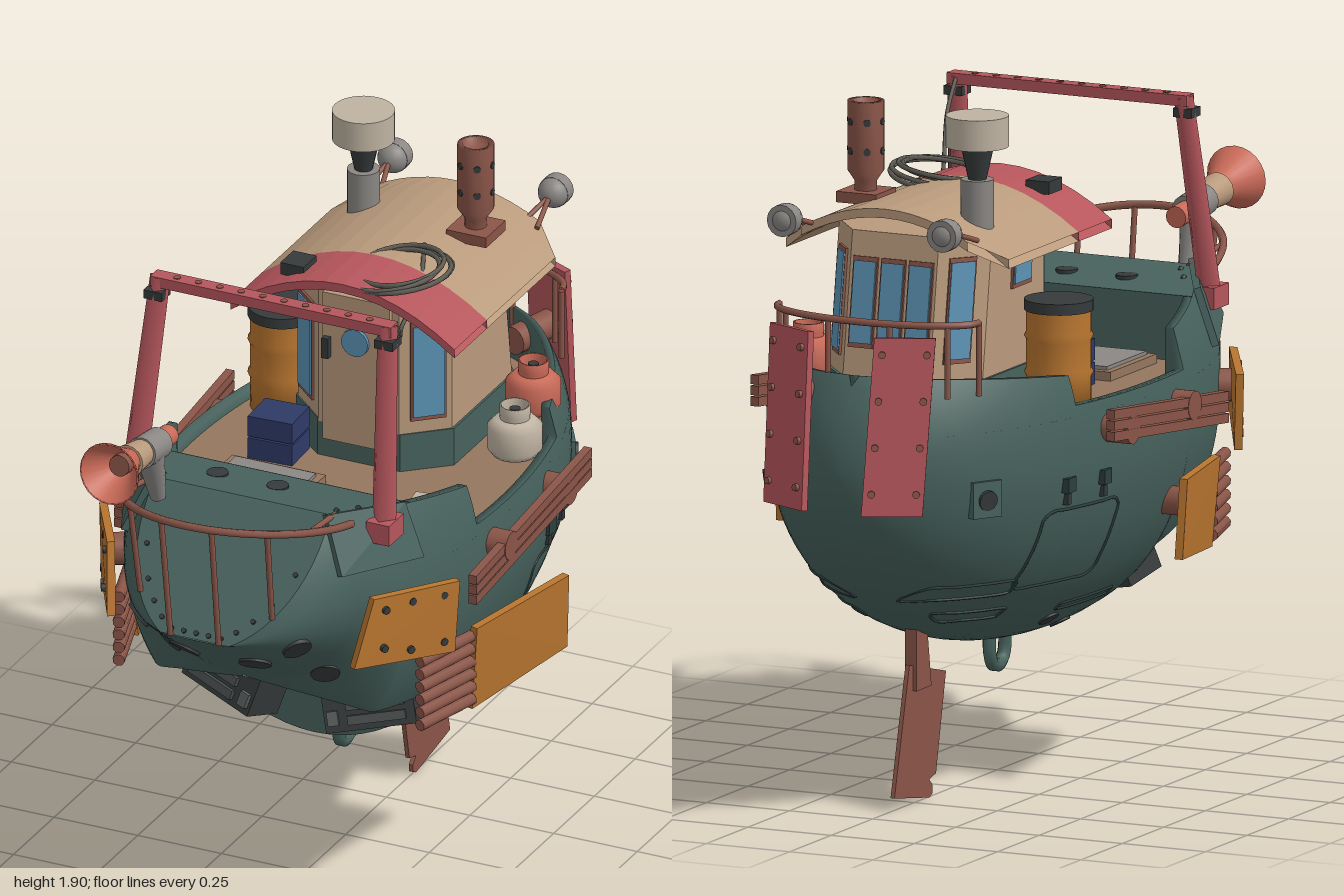
import * as THREE from 'three';
import { ConvexGeometry } from 'three/addons/geometries/ConvexGeometry.js';

const C = { hull: 0x47625d, seam: 0x2c3f3c, dark: 0x363a3a, tan: 0xb99a7c, deck: 0x94765f, red: 0xb5565c, brown: 0x8a5548,
  orange: 0xb8752f, blue: 0x5b93b5, navy: 0x2f3a66, horn: 0xc96a58, grey: 0x8a8784, pale: 0xbfb3a2, rope: 0x5c5a52 };
const V = (x, y, z) => new THREE.Vector3(x, y, z);
const UP = V(0, 1, 0);

export function createModel() {
  const model = new THREE.Group();
  const add = (name, geo, color, pos, opt = {}) => {
    const m = new THREE.Mesh(geo, new THREE.MeshStandardMaterial({ color, ...opt }));
    m.name = name;
    if (pos) m.position.copy(pos);
    model.add(m);
    return m;
  };
  const box = (name, color, p, s, ry = 0, rx = 0) => {
    const m = add(name, new THREE.BoxGeometry(...s), color, V(...p));
    m.rotation.set(rx, ry, 0, 'YXZ');
    return m;
  };
  // Tapered cylinder between two points
  const rod = (name, color, a, b, r, r2 = r, n = 16) => {
    const d = b.clone().sub(a);
    const m = add(name, new THREE.CylinderGeometry(r2, r, d.length(), n), color, a.clone().add(b).multiplyScalar(0.5));
    m.quaternion.setFromUnitVectors(UP, d.normalize());
    return m;
  };
  const disc = (name, color, p, n, r, h = 0.02) =>
    rod(name, color, p.clone().addScaledVector(n, -h / 2), p.clone().addScaledVector(n, h / 2), r, r);
  const tube = (name, color, pts, r, closed = false) =>
    add(name, new THREE.TubeGeometry(new THREE.CatmullRomCurve3(pts, closed), 64, r, 6, closed), color);
  // Flat plate with given corners
  const plate = (name, color, corners, t) => {
    const p = corners.map(c => V(...c));
    const n = p[1].clone().sub(p[0]).cross(p[2].clone().sub(p[0])).normalize();
    const pts = p.flatMap(q => [q.clone().addScaledVector(n, t / 2), q.clone().addScaledVector(n, -t / 2)]);
    add(name, new ConvexGeometry(pts), color);
    return n;
  };
  // Surface through rows of points
  const grid = (name, color, rows) => {
    const w = rows[0].length, idx = [];
    for (let i = 0; i < rows.length - 1; i++) for (let j = 0; j < w - 1; j++) {
      const a = i * w + j, b = a + w;
      idx.push(a, b, a + 1, a + 1, b, b + 1);
    }
    const g = new THREE.BufferGeometry().setFromPoints(rows.flat());
    g.setIndex(idx);
    g.computeVertexNormals();
    return add(name, g, color, null, { side: THREE.DoubleSide });
  };

  // Hull: an ellipsoid trimmed by a sheer line, with a rounded, undercut bow
  const A = 0.495, B = 0.6, L = 0.95, Y = 0.98;
  const top = z => z > 0.63 ? 1.93 - z : z > 0.17 ? 1.22 + 0.17 * (z - 0.17) : z > -0.4 ? 1.11 : 1.19 - 0.1 * (z + 0.4);
  const low = z => z > 0.5 ? 0.66 + 0.79 * (z - 0.5) : z > 0.19 ? 0.62 + 0.13 * (z - 0.19) : 0;
  const halfW = (z, y) => {
    const w = A * Math.sqrt(Math.max(0, 1 - (z / L) ** 2 - ((y - Y) / B) ** 2));
    const t = THREE.MathUtils.clamp((y - low(z)) / Math.max(1e-3, 0.8 * (top(z) - low(z))), 0, 1);
    const bowl = (1 - (1 - t) ** 2.4) ** (1 / 2.4);
    return w * THREE.MathUtils.lerp(1, bowl, THREE.MathUtils.smoothstep(z, 0.48, 0.62));
  };
  const hullNormal = (s, y, z) => {
    const e = 0.004;
    return V(s, (halfW(z, y - e) - halfW(z, y + e)) / (2 * e), (halfW(z - e, y) - halfW(z + e, y)) / (2 * e)).normalize();
  };
  const onHull = (s, y, z, off = 0) => V(s * halfW(z, y), y, z).addScaledVector(hullNormal(s, y, z), off);
  const zs = [0.63, 0.5, 0.4];
  for (let i = 0; i <= 64; i++) zs.push(Math.min(0.929, -L * Math.cos(i / 64 * Math.PI)));
  for (const e of [0.17, 0.19, -0.4]) zs.push(e - 1e-4, e + 1e-4);
  const stations = [...new Set(zs)].sort((a, b) => a - b);
  for (const s of [1, -1]) {
    grid('hullSide', C.hull, stations.map(z => {
      const h = B * Math.sqrt(Math.max(0, 1 - (z / L) ** 2));
      const y0 = Math.max(low(z), Y - h), y1 = Math.min(top(z), Y + h);
      return Array.from({ length: 29 }, (_, j) => {
        const y = y0 + (y1 - y0) * (1 - Math.cos(j / 28 * Math.PI)) / 2;
        return V(s * halfW(z, y), y, z);
      });
    }));
    // Bulwark rim and inner wall
    grid('bulwark', C.hull, stations.filter(z => z > -0.86 && z < 0.42).map(z => {
      const x = s * halfW(z, top(z)), i = s * Math.max(0, Math.abs(x) - 0.025);
      return [V(x, top(z), z), V(i, top(z), z), V(i, 1.07, z)];
    }));
  }
  const across = (z, y) => { const w = halfW(z, y); return [V(-w, y, z), V(w, y, z)]; };
  grid('foredeck', C.hull, stations.filter(z => z >= 0.4 && z <= 0.63).map(z => across(z, top(z))));
  grid('bowFace', C.hull, stations.filter(z => z >= 0.63).map(z => across(z, top(z))));
  grid('foredeckBulkhead', C.hull, [1.07, 1.26].map(y => across(0.4, y)));
  grid('bowUndercut', C.hull, stations.filter(z => z > 0.19 && z < 0.63).map(z => {
    const y = low(z), w = halfW(z, y), h = Math.max(y, 0.73);
    return [V(-w, y, z), V(-w * 0.96, h, z), V(w * 0.96, h, z), V(w, y, z)];
  }));
  grid('lowerFront', C.hull, Array.from({ length: 16 }, (_, i) => across(0.19, 0.393 + 0.337 * i / 15)));
  grid('deck', C.deck, stations.filter(z => z > -0.93 && z < 0.41).map(z => across(z, 1.08)));

  // Foremost z where a width test holds
  const march = test => { let z = 0.929; while (z > 0.5 && !test(z)) z -= 0.002; return z; };
  // Bow face studs and underside portholes
  for (let i = -8; i <= 8; i++) {
    const x = i * 0.037, z = march(q => halfW(q, top(q)) >= Math.abs(x) + 0.025) - 0.012;
    disc('bowStud', C.dark, V(x, top(z), z), V(0, 0.7, 0.7), 0.007, 0.012);
  }
  for (const s of [1, -1]) {
    for (const [x, y, r] of [[0.235, 0.96, 0.04], [0.105, 0.885, 0.045], [0.23, 0.805, 0.04]]) {
      const z = march(q => y > low(q) && halfW(q, y) >= x);
      disc('bowPorthole', C.dark, V(s * x, y, z), hullNormal(s, y, z), r, 0.014);
    }
    for (const [z, y] of [[-0.02, 0.43], [-0.18, 0.47]])
      disc('keelPorthole', C.dark, onHull(s, y, z), hullNormal(s, y, z), 0.03, 0.01);
    // Hatch seams that follow the hull
    for (const [z0, z1, y0, y1] of [[-0.51, -0.2, 0.61, 0.83], [-0.8, -0.5, 0.6, 0.64], [-0.22, 0.05, 0.505, 0.525], [-0.75, -0.45, 0.52, 0.55]]) {
      const pts = [], seg = (za, ya, zb, yb) => {
        for (let i = 0; i < 6; i++) {
          const z = za + (zb - za) * (i + 0.5) / 6, y = ya + (yb - ya) * (i + 0.5) / 6;
          if (Math.abs(z) < 0.8 * L && halfW(z, y) > 0.02) pts.push(onHull(s, y, z));
        }
      };
      seg(z0, y0, z1, y0); seg(z1, y0, z1, y1); seg(z1, y1, z0, y1); seg(z0, y1, z0, y0);
      tube('hatchSeam', C.seam, pts, 0.0045, true);
    }
    for (const z of [-0.29, -0.44]) {
      box('hatchHinge', C.seam, onHull(s, 0.9, z).toArray(), [0.025, 0.04, 0.045]);
      box('hatchHingePin', C.dark, onHull(s, 0.86, z).toArray(), [0.02, 0.03, 0.02]);
    }
    const p = onHull(s, 0.9, -0.715), n = hullNormal(s, 0.9, -0.715);
    box('boltPlate', C.hull, p.toArray(), [0.03, 0.1, 0.09], s * Math.atan2(-n.z * -1, n.x * s) * -1);
    disc('boltHead', C.dark, p.addScaledVector(n, 0.012), n, 0.028);

    // Lamp boxes under the bow
    const lamp = new THREE.Group();
    lamp.name = 'bowLamp';
    const part = (sz, q, c) => {
      const m = new THREE.Mesh(new THREE.BoxGeometry(...sz), new THREE.MeshStandardMaterial({ color: c }));
      m.position.set(...q);
      lamp.add(m);
    };
    part([0.25, 0.18, 0.13], [0, 0, 0], C.dark);
    for (let i = 0; i < 4; i++) part([0.16, 0.025, 0.02], [0.02 * s, -0.06 + i * 0.04, 0.068], 0x4a4f4e);
    for (const y of [-0.05, 0.05]) part([0.03, 0.04, 0.02], [-0.1 * s, y, 0.068], 0x5a5f5e);
    lamp.position.set(s * 0.195, 0.58, 0.245);
    lamp.rotation.set(-0.3, s * 0.25, s * 0.28);
    model.add(lamp);

    // Patched armour plates and ribbed fender
    plate('lowerArmourPlate', C.orange, [[s * 0.6, 0.65, -0.11], [s * 0.61, 0.87, -0.1], [s * 0.52, 0.86, 0.28], [s * 0.5, 0.61, 0.27]], 0.022);
    const un = plate('upperArmourPlate', C.orange, [[s * 0.52, 0.85, 0.41], [s * 0.53, 1.06, 0.4], [s * 0.39, 1.08, 0.64], [s * 0.36, 0.89, 0.7]], 0.022);
    if (un.x * s < 0) un.negate();
    for (const [x, y, z] of [[0.5, 0.89, 0.44], [0.5, 1.03, 0.44], [0.41, 0.93, 0.62], [0.41, 1.04, 0.61], [0.45, 0.9, 0.54], [0.45, 1.04, 0.53]])
      disc('plateBolt', C.dark, V(s * x, y, z).addScaledVector(un, 0.008), un, 0.011, 0.02);
    rod('plateMount', C.brown, V(s * 0.34, 1, 0.48), V(s * 0.44, 1, 0.53), 0.045);
    for (let i = 0; i < 6; i++)
      rod('fenderRib', C.brown, V(s * 0.51, 0.64 + i * 0.038, 0.27), V(s * 0.45, 0.635 + i * 0.038, 0.47), 0.017, 0.017, 8);
    rod('fenderMount', C.brown, V(s * 0.4, 0.76, 0.12), V(s * 0.53, 0.76, 0.12), 0.04);

    // Rubbing boards
    for (let i = 0; i < 3; i++)
      plate('rubbingBoard', C.brown, [[s * 0.53, 0.945 + i * 0.03, 0.31], [s * 0.53, 0.971 + i * 0.03, 0.31],
        [s * 0.535, 1.045 + i * 0.03, -0.39], [s * 0.535, 1.019 + i * 0.03, -0.39]], 0.024);
    for (const z of [-0.27, 0.1]) rod('boardMount', C.brown, V(s * 0.42, 1.03, z), V(s * 0.545, 1.03, z), 0.04);

    // Stern plates
    const sn = plate('sternPlate', C.red, [[s * 0.085, 0.88, -0.99], [s * 0.235, 0.88, -0.92], [s * 0.245, 1.36, -0.86], [s * 0.095, 1.36, -0.93]], 0.02);
    if (sn.z > 0) sn.negate();
    for (let i = 0; i < 4; i++) for (const [x, z] of [[0.108, -0.974], [0.217, -0.922]])
      disc('sternBolt', C.brown, V(s * (x + i * 0.003), 0.94 + i * 0.125, z + i * 0.0156).addScaledVector(sn, 0.009), sn, 0.01, 0.02);
    rod('sternMount', C.brown, V(s * 0.13, 1.17, -0.76), V(s * 0.17, 1.17, -0.9), 0.04);

    // Gantry legs
    plate('gantryBase', C.hull, [[1.12, 0.43], [1.27, 0.43], [1.3, 0.65], [1.15, 0.69]].map(([y, z]) => onHull(s, y, z, 0.015).toArray()), 0.02);
    box('gantryFoot', C.red, [s * 0.375, 1.24, 0.53], [0.07, 0.06, 0.09]);
    rod('gantryLeg', C.red, V(s * 0.375, 1.22, 0.535), V(s * 0.34, 1.8, 0.44), 0.036, 0.03, 4);
    box('gantryClamp', C.dark, [s * 0.345, 1.755, 0.45], [0.055, 0.025, 0.055]);

    // Stern lamps on struts
    add('sternLamp', new THREE.SphereGeometry(0.043, 20, 12), C.grey, V(s * 0.24, 1.63, -0.785));
    disc('lampLens', C.grey, V(s * 0.24, 1.63, -0.8), V(0, 0, 1), 0.044, 0.035);
    for (const x of [0.21, 0.26]) rod('lampStrut', C.brown, V(s * x, 1.59, -0.64), V(s * 0.24, 1.63, -0.76), 0.007);
  }
  box('gantryBar', C.red, [0, 1.79, 0.44], [0.72, 0.03, 0.045]);
  for (let i = 0; i < 10; i++) disc('gantryRivet', C.brown, V(-0.29 + i * 0.064, 1.8, 0.44), UP, 0.01, 0.014);
  tube('gantryRope', C.rope, [V(0.34, 1.8, 0.44), V(0.3, 1.72, 0.3), V(0.24, 1.62, 0.16), V(0.18, 1.58, 0.02), V(0.16, 1.61, -0.12), V(0.1, 1.67, -0.28)], 0.006);
  tube('hangingRope', C.rope, [V(0.35, 1.76, 0.45), V(0.37, 1.6, 0.46), V(0.38, 1.42, 0.49), V(0.38, 1.28, 0.52)], 0.005);

  // Wheelhouse: eight-sided, with a raked aft end
  const plan = [[0.12, -0.08], [0.23, -0.18], [0.23, -0.55], [0.13, -0.67], [-0.13, -0.67], [-0.23, -0.55], [-0.23, -0.18], [-0.12, -0.08]];
  const ring = (y, k, rake) => plan.map(([x, z]) => V(x * k, y, z < -0.4 ? z + rake : z));
  add('wheelhouseBase', new ConvexGeometry([...ring(1.07, 1.03, -0.005), ...ring(1.19, 1.03, -0.005)]), C.hull);
  add('wheelhouse', new ConvexGeometry([...ring(1.18, 1, 0), ...ring(1.58, 1, 0.06)]), C.tan);
  // Windows set along wall edges
  const windowOn = (a, b, u0, u1, y0, y1) => {
    const at = (u, y) => {
      const f = (y - 1.18) / 0.4;
      const pt = i => V(plan[i][0], y, plan[i][1] + (plan[i][1] < -0.4 ? 0.06 * f : 0));
      return pt(a).lerp(pt(b), u).toArray();
    };
    const grow = 0.06 * (u1 - u0);
    plate('windowFrame', C.brown, [at(u0 - grow, y0 - 0.012), at(u1 + grow, y0 - 0.012), at(u1 + grow, y1 + 0.012), at(u0 - grow, y1 + 0.012)], 0.014);
    plate('windowPane', C.blue, [at(u0, y0), at(u1, y0), at(u1, y1), at(u0, y1)], 0.022);
  };
  for (const [a, b] of [[0, 1], [7, 6]]) windowOn(a, b, 0.25, 0.85, 1.24, 1.51);
  for (const [a, b] of [[1, 2], [6, 5]]) windowOn(a, b, 0.28, 0.58, 1.42, 1.52);
  for (const [a, b] of [[2, 3], [5, 4]]) windowOn(a, b, 0.3, 0.75, 1.25, 1.51);
  for (const u of [0.06, 0.38, 0.7]) windowOn(3, 4, u, u + 0.25, 1.28, 1.5);
  box('door', C.tan, [0, 1.36, -0.075], [0.2, 0.44, 0.025]);
  disc('doorPorthole', C.blue, V(0, 1.45, -0.063), V(0, 0, 1), 0.04);
  box('doorHandle', C.dark, [-0.085, 1.42, -0.055], [0.02, 0.06, 0.02]);
  // Arched roof with a red forward section
  const roof = (name, color, z0, z1, w0, w1) => {
    const arch = (z, w, dy) => Array.from({ length: 13 }, (_, i) => {
      const x = -1 + i / 6;
      return V(x * w, 1.54 + 0.12 * (1 - (x * w / 0.33) ** 2) + dy, z);
    });
    grid(name, color, [arch(z0, w0, 0), arch(z0, w0, -0.025), arch(z1, w1, -0.025), arch(z1, w1, 0), arch(z0, w0, 0)]).material.flatShading = true;
  };
  roof('roofFront', C.red, 0.02, -0.18, 0.335, 0.335);
  roof('roofMiddle', C.tan, -0.18, -0.6, 0.335, 0.335);
  roof('roofAft', C.tan, -0.6, -0.68, 0.335, 0.25);
  box('roofVent', C.dark, [-0.18, 1.635, -0.08], [0.07, 0.035, 0.08]);
  for (let i = 0; i < 4; i++) {
    const m = add('ropeCoil', new THREE.TorusGeometry(0.155 - i * 0.012, 0.007, 6, 40), C.rope, V(0.08 + (i % 2) * 0.015, 1.645 + i * 0.007, -0.14 + (i % 3) * 0.012));
    m.rotation.x = Math.PI / 2 + 0.03 * (i - 1);
    m.rotation.y = 0.14;
  }

  // Chimney and radar drum
  box('chimneyFoot', C.brown, [0.165, 1.645, -0.46], [0.12, 0.03, 0.12]);
  const lathe = (name, color, pts, p) => add(name, new THREE.LatheGeometry(pts.map(q => new THREE.Vector2(...q)), 24), color, V(...p), { side: THREE.DoubleSide });
  lathe('chimney', C.brown, [[0.03, 0], [0.03, 0.04], [0.05, 0.07], [0.05, 0.26], [0.035, 0.26], [0.035, 0.24], [0, 0.24]], [0.165, 1.645, -0.46]);
  for (let i = 0; i < 12; i++) {
    const a = i * Math.PI / 3, n = V(Math.cos(a), 0, Math.sin(a));
    disc('chimneyHole', C.dark, V(0.165, i < 6 ? 1.77 : 1.85, -0.46).addScaledVector(n, 0.049), n, 0.01, 0.006);
  }
  rod('radarPost', C.grey, V(-0.195, 1.58, -0.51), V(-0.195, 1.73, -0.51), 0.045);
  rod('radarNeck', C.dark, V(-0.195, 1.73, -0.51), V(-0.195, 1.82, -0.51), 0.025, 0.045);
  rod('radarDrum', C.pale, V(-0.195, 1.82, -0.51), V(-0.195, 1.905, -0.51), 0.085, 0.085, 28);

  // Horn on its stand
  const horn = lathe('hornBell', C.horn, [[0, 0.14], [0.03, 0.14], [0.035, 0.02], [0.05, -0.02], [0.088, -0.1], [0.082, -0.1], [0.03, -0.01], [0, 0]], [-0.23, 1.46, 0.88]);
  horn.rotation.x = -Math.PI / 2 - 0.1;
  disc('hornHub', C.brown, V(-0.23, 1.465, 0.9), V(0, 0.1, 0.995), 0.03, 0.04);
  rod('hornThroat', C.tan, V(-0.23, 1.457, 0.87), V(-0.23, 1.445, 0.77), 0.047, 0.036);
  rod('hornDriver', C.grey, V(-0.23, 1.445, 0.785), V(-0.23, 1.43, 0.68), 0.044);
  rod('hornCap', C.horn, V(-0.23, 1.43, 0.68), V(-0.23, 1.425, 0.615), 0.03);
  rod('hornStand', C.grey, V(-0.23, 1.27, 0.68), V(-0.23, 1.42, 0.73), 0.022, 0.04);

  // Bow rail and stern rail
  const railPt = a => V(0.32 * Math.cos(a), 1.28 + 0.09 * Math.sin(a), 0.62 + 0.37 * Math.sin(a));
  tube('bowRail', C.brown, Array.from({ length: 17 }, (_, i) => railPt(i / 16 * Math.PI)), 0.011);
  for (const x of [-0.28, -0.205, -0.075, 0.075, 0.205, 0.28]) {
    const z = march(q => halfW(q, top(q)) >= Math.abs(x) * 0.97);
    rod('bowRailPost', C.brown, V(x * 0.96, top(z), z), railPt(Math.acos(x / 0.32)), 0.008);
  }
  const sternPt = (a, y) => V(0.3 * Math.cos(a), y, -0.71 - 0.13 * Math.sin(a));
  tube('sternRail', C.brown, Array.from({ length: 13 }, (_, i) => sternPt(i / 12 * Math.PI, 1.38)), 0.01);
  for (let i = 0; i < 6; i++) rod('sternRailPost', C.brown, sternPt(i / 5 * Math.PI, 1.18), sternPt(i / 5 * Math.PI, 1.38), 0.008);

  // Deck cargo: barrel, crates, gas bottles, hatch
  lathe('barrel', C.orange, [[0, 0], [0.088, 0], [0.088, 0.09], [0.094, 0.1], [0.088, 0.11], [0.088, 0.19], [0.094, 0.2], [0.088, 0.21], [0.088, 0.28]], [-0.34, 1.08, -0.31]);
  rod('barrelLid', C.dark, V(-0.34, 1.35, -0.31), V(-0.34, 1.38, -0.31), 0.094, 0.094, 24);
  for (const y of [1.11, 1.175]) box('crate', C.navy, [-0.22, y, -0.04], [0.13, 0.06, 0.12], 0.05);
  for (const [x, z, c, y] of [[0.36, -0.3, C.pale, 1.09], [0.33, -0.475, C.horn, 1.14]]) {
    lathe('gasBottle', c, [[0, 0], [0.06, 0], [0.075, 0.02], [0.075, 0.085], [0.055, 0.105], [0.02, 0.11]], [x, y, z]);
    lathe('bottleCollar', c, [[0.04, 0.1], [0.042, 0.12], [0.042, 0.145], [0.036, 0.145], [0.036, 0.1]], [x, y, z]);
    rod('bottleValve', C.dark, V(x, y + 0.1, z), V(x, y + 0.135, z), 0.015);
  }
  box('hatchFrame', C.deck, [-0.165, 1.09, 0.21], [0.28, 0.03, 0.28]);
  box('hatchCover', C.grey, [-0.165, 1.1, 0.21], [0.24, 0.03, 0.24]);
  box('deckBox', C.pale, [0.34, 1.12, 0.22], [0.09, 0.08, 0.15], 0.15);
  for (const x of [-0.14, 0.04]) disc('foredeckCap', C.dark, V(x, 1.272, 0.5), UP, 0.03);
  box('foredeckPanel', C.hull, [-0.08, 1.275, 0.53], [0.28, 0.01, 0.09], 0, -0.17);

  // Rudder and keel ring
  const blade = new THREE.Shape([[0.32, 0.33], [0.54, 0.385], [0.63, 0.035], [0.42, 0], [0.4, 0.01], [0.4, 0.03], [0.42, 0.05], [0.38, 0.06]].map(p => new THREE.Vector2(...p)));
  const rudder = add('rudderBlade', new THREE.ExtrudeGeometry(blade, { depth: 0.012, bevelEnabled: false }), C.brown, V(-0.006, 0, 0));
  rudder.rotation.y = Math.PI / 2;
  plate('rudderPost', C.brown, [[0, 0.31, -0.43], [0, 0.31, -0.52], [0, 0.5, -0.52], [0, 0.5, -0.46]], 0.035);
  tube('keelRing', C.hull, [V(0, 0.41, 0.045), V(0, 0.33, 0.045), V(0, 0.3, 0.03), V(0, 0.289, 0), V(0, 0.3, -0.03), V(0, 0.33, -0.045), V(0, 0.41, -0.045)], 0.02);
  return model;
}
